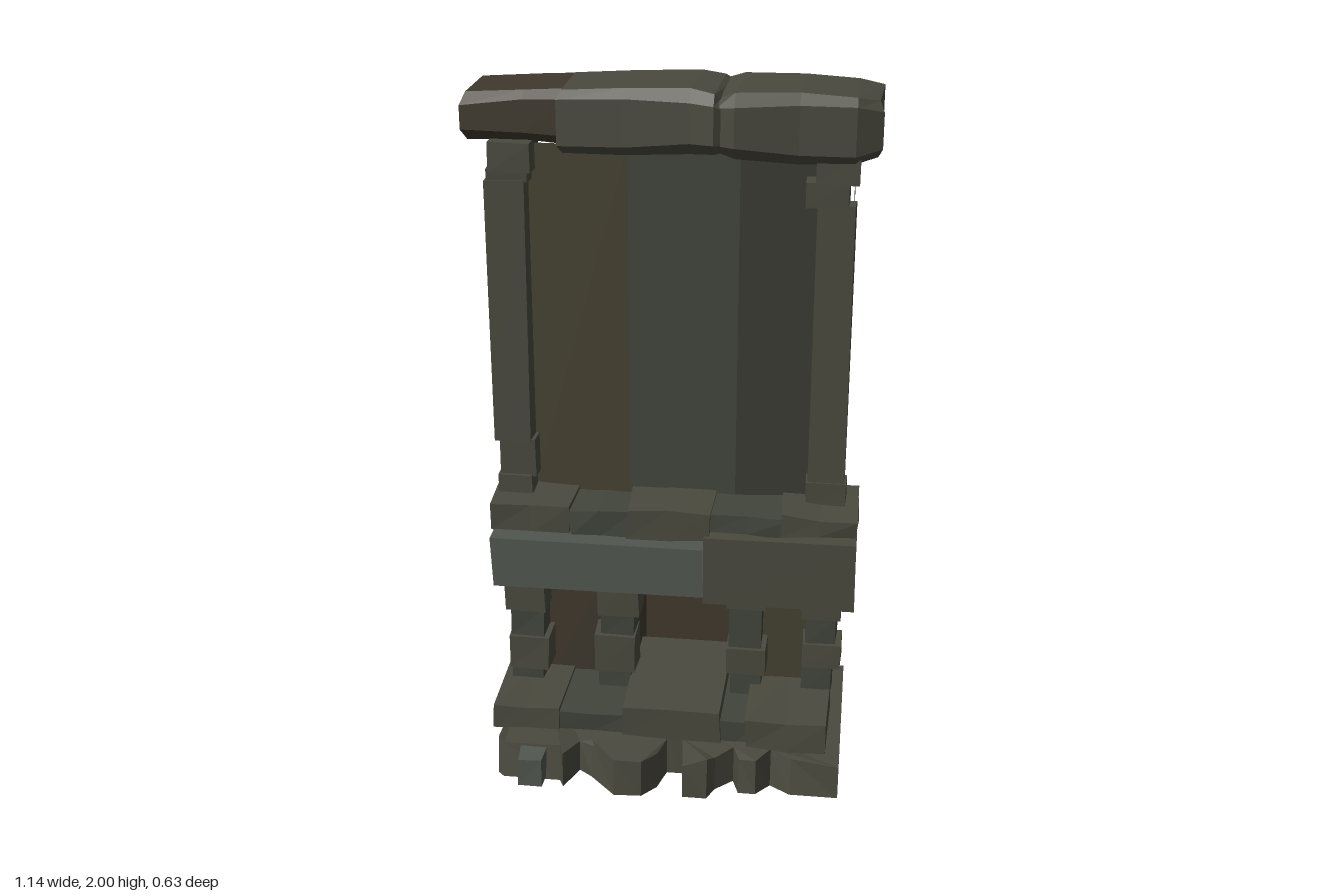
import * as THREE from 'three';

const mat = (color) => new THREE.MeshStandardMaterial({ color, flatShading: true, roughness: 1, side: THREE.DoubleSide });
const STONE = mat(0x4a493e), GREEN = mat(0x41453b), BROWN = mat(0x3f382d), DARK = mat(0x3b3c34);
const LIGHT = mat(0x50564f), OCHRE = mat(0x444030), RED = mat(0x524443);

// repeatable 0..1 value from a position
const hash = (x, y, z) => {
  const s = Math.sin(x * 127.1 + y * 311.7 + z * 74.7) * 43758.5453;
  return s - Math.floor(s);
};

// keep only the triangles whose normal passes the test
function keepFaces(geo, test) {
  const src = geo.index ? geo.toNonIndexed() : geo;
  const p = src.attributes.position, out = [];
  const t = new THREE.Triangle(), n = new THREE.Vector3();
  for (let i = 0; i < p.count; i += 3) {
    t.setFromAttributeAndIndices(p, i, i + 1, i + 2);
    t.getNormal(n);
    if (test(n)) for (const v of [t.a, t.b, t.c]) out.push(v.x, v.y, v.z);
  }
  const g = new THREE.BufferGeometry();
  g.setAttribute('position', new THREE.Float32BufferAttribute(out, 3));
  return g;
}

function add(group, name, geo, material) {
  geo.computeVertexNormals();
  const m = new THREE.Mesh(geo, material);
  m.name = name;
  group.add(m);
}

// rough stone, open behind; corners are chipped inward by up to chip
function stone(group, name, [x0, x1, y0, y1, z0, z1], material, { chip = 0.01, nx = 1, keep = (n) => n.z > -0.5 } = {}) {
  const g = keepFaces(new THREE.BoxGeometry(x1 - x0, y1 - y0, z1 - z0, nx, 1, 1), keep);
  const p = g.attributes.position;
  for (let i = 0; i < p.count; i++) {
    let x = p.getX(i), y = p.getY(i), z = p.getZ(i);
    const a = x + x0, b = y + y0, c = z + z1;
    const front = z > 0, k = front ? 1 : 0.3;
    x -= Math.sign(x) * chip * k * hash(a, b, c);
    y -= Math.sign(y) * chip * k * hash(b, c, a);
    if (front) z -= chip * 0.7 * hash(c, a, b);
    p.setXYZ(i, x + (x0 + x1) / 2, y + (y0 + y1) / 2, z + (z0 + z1) / 2);
  }
  add(group, name, g, material);
}

// worn stone lofted along x through stations [x, front z, bottom y, top y]
function wornStone(group, name, stations, back, material) {
  const pos = [], index = [], N = 6;
  stations.forEach(([x, z, yb, yt], i) => {
    const r = 0.02 + 0.015 * hash(x, z, yb);
    const inset = i === 0 ? 0.012 : i === stations.length - 1 ? -0.012 : 0;
    pos.push(x, yb, back, x + inset, yb, z - r, x, yb + r, z, x, yt - r, z, x + inset, yt, z - r, x, yt, back);
    if (i === 0) return;
    for (let k = 0; k < N; k++) {
      const a = (i - 1) * N + k, a2 = (i - 1) * N + ((k + 1) % N);
      index.push(a, a + N, a2 + N, a, a2 + N, a2);
    }
  });
  const e = (stations.length - 1) * N;
  for (let k = 1; k < N - 1; k++) index.push(0, k, k + 1, e, e + k + 1, e + k);
  const g = new THREE.BufferGeometry();
  g.setAttribute('position', new THREE.Float32BufferAttribute(pos, 3));
  g.setIndex(index);
  add(group, name, g.toNonIndexed(), material);
}

// thin upright wall along [x, z] points
function wall(group, name, pts, y0, y1, material) {
  const g = new THREE.PlaneGeometry(1, 1, pts.length - 1, 1), p = g.attributes.position;
  for (let i = 0; i < p.count; i++) {
    const [x, z] = pts[i % pts.length];
    p.setXYZ(i, x, i < pts.length ? y1 : y0, z);
  }
  add(group, name, g, material);
}

export function createModel() {
  const root = new THREE.Group();
  root.name = 'fireplace';
  const part = (name) => {
    const g = new THREE.Group();
    g.name = name;
    root.add(g);
    return g;
  };
  const B = -0.32; // back plane

  // rough base: ragged outline, open underneath and behind
  const outline = [
    [-0.47, B], [-0.48, 0.24], [-0.46, 0.26], [-0.29, 0.26], [-0.275, 0.29], [-0.24, 0.2], [-0.2, 0.23],
    [-0.12, 0.315], [-0.04, 0.31], [0, 0.26], [0.02, 0.18], [0.065, 0.18], [0.08, 0.3], [0.15, 0.3], [0.17, 0.25],
    [0.22, 0.2], [0.24, 0.26], [0.29, 0.26], [0.33, 0.21], [0.39, 0.25], [0.53, 0.25], [0.53, B],
  ];
  const shape = new THREE.Shape(outline.map(([x, z]) => new THREE.Vector2(x, -z)));
  let base = new THREE.ExtrudeGeometry(shape, { depth: 0.115, bevelEnabled: false });
  base.rotateX(-Math.PI / 2);
  base = keepFaces(base, (n) => n.y > -0.5 && n.z > -0.99);
  const bp = base.attributes.position;
  for (let i = 0; i < bp.count; i++) {
    const x = bp.getX(i), z = bp.getZ(i);
    if (bp.getY(i) > 0.05 && z > 0) {
      bp.setY(i, 0.115 - 0.02 * hash(x, z, 1));
      bp.setZ(i, z * (0.9 + 0.1 * hash(z, x, 2)));
    }
  }
  add(root, 'base', base, STONE);
  stone(root, 'looseBaseStone', [-0.41, -0.33, 0.005, 0.1, 0.24, 0.315], LIGHT);

  // hearth slabs
  const hearth = part('hearth');
  [
    [-0.51, -0.3, 0.115, 0.195, -0.1, 0.18],
    [-0.32, -0.09, 0.11, 0.185, -0.1, 0.17],
    [-0.12, 0.18, 0.115, 0.225, -0.235, 0.185],
    [0.16, 0.29, 0.11, 0.185, -0.235, 0.17],
    [0.25, 0.495, 0.12, 0.22, -0.05, 0.215],
  ].forEach((b, i) => stone(hearth, 'hearthSlab', b, i % 2 ? GREEN : STONE, { nx: 2 }));

  // lower body: side walls, recessed panels and firebox
  const lower = part('lowerBody');
  wall(lower, 'lowerLeftWall', [[0.495, -0.08], [0.495, B]], 0.18, 0.55, BROWN);
  wall(lower, 'lowerRightWall', [[-0.46, B], [-0.46, -0.08]], 0.18, 0.57, BROWN);
  wall(lower, 'recessPanel', [[-0.39, -0.08], [-0.18, -0.08]], 0.12, 0.57, BROWN);
  wall(lower, 'recessPanel', [[0.27, -0.08], [0.43, -0.08]], 0.12, 0.55, OCHRE);
  wall(lower, 'firebox', [[-0.11, -0.03], [-0.11, B], [0.2, B], [0.2, -0.03]], 0.175, 0.6, BROWN);

  // stacked stone posts: [x0, x1, course heights]
  const posts = part('posts');
  [
    [-0.475, -0.37, [0.17, 0.235, 0.34, 0.43, 0.56]],
    [-0.205, -0.1, [0.17, 0.24, 0.36, 0.43, 0.57]],
    [0.185, 0.285, [0.16, 0.26, 0.34, 0.48, 0.54]],
    [0.41, 0.505, [0.2, 0.3, 0.37, 0.46, 0.55]],
  ].forEach(([x0, x1, ys], k) => {
    for (let i = 0; i < 4; i++) {
      const s = (hash(k, i, 3) - 0.5) * 0.02, e = i % 2 ? 0.012 : 0;
      const box = [x0 + s - e, x1 + s + e, ys[i] - 0.006, ys[i + 1] + 0.004, -0.085, 0.008 + e];
      stone(posts, 'postStone', box, i % 2 ? STONE : GREEN, { chip: 0.006 });
    }
  });

  // mantel beam in two lengths, hollow behind
  const beam = part('mantelBeam');
  const openLeft = (n) => n.z > -0.5 && n.x < 0.5;
  stone(beam, 'beamRight', [-0.505, 0.125, 0.56, 0.725, B, 0.132], LIGHT, { keep: openLeft });
  stone(beam, 'beamLeft', [0.115, 0.553, 0.535, 0.75, B, 0.107], STONE, { keep: openLeft, chip: 0.004 });
  wall(beam, 'beamEnd', [[0.551, 0.105], [0.551, B]], 0.535, 0.75, RED);

  // ledge stones on the beam
  const ledge = part('ledge');
  [
    [-0.52, -0.27, 0.71, 0.815, -0.12, 0.075],
    [-0.29, -0.09, 0.71, 0.805, -0.15, 0.075],
    [-0.12, 0.14, 0.72, 0.825, -0.12, 0.095],
    [0.12, 0.36, 0.74, 0.815, -0.15, 0.085],
    [0.33, 0.557, 0.745, 0.825, -0.07, 0.09],
  ].forEach((b, i) => stone(ledge, 'ledgeStone', b, i % 2 ? GREEN : STONE, { chip: 0.016, nx: 2 }));

  // chimney breast: faceted front and two flat sides
  const breast = part('chimneyBreast');
  wall(breast, 'breastFront', [[-0.42, -0.09], [-0.12, -0.07]], 0.76, 1.83, OCHRE);
  wall(breast, 'breastFront', [[-0.12, -0.07], [0.19, -0.07]], 0.76, 1.83, GREEN);
  wall(breast, 'breastFront', [[0.19, -0.07], [0.41, -0.09]], 0.76, 1.83, DARK);
  for (const x of [-0.42, 0.5]) wall(breast, 'breastSide', [[x, -0.07], [x, B]], 0.79, 1.83, DARK);

  // corner trims of the chimney breast
  const trims = part('cornerTrims');
  [
    [-0.505, -0.4, 0.78, 0.865, -0.08, -0.01], [-0.5, -0.39, 0.855, 0.975, -0.08, -0.02],
    [-0.513, -0.4, 0.965, 1.74, -0.08, -0.015], [-0.51, -0.39, 1.73, 1.772, -0.08, -0.02],
    [-0.5, -0.38, 1.76, 1.845, -0.08, -0.01], [0.395, 0.515, 0.805, 0.885, -0.08, -0.01],
    [0.4, 0.51, 0.875, 1.695, -0.08, -0.015], [0.37, 0.49, 1.685, 1.76, -0.08, -0.015],
    [0.395, 0.515, 1.75, 1.835, -0.08, -0.01],
  ].forEach((b) => stone(trims, 'cornerTrimStone', b, STONE, { chip: 0.005 }));

  // solid top cap of three large worn stones
  const cap = part('cap');
  wornStone(cap, 'capStoneRight', [[-0.575, -0.03, 1.84, 1.97], [-0.4, -0.03, 1.845, 1.98], [-0.28, -0.03, 1.835, 1.985]], B, BROWN);
  wornStone(cap, 'capStoneMiddle', [[-0.305, -0.01, 1.815, 1.985], [-0.12, 0, 1.815, 1.995], [0.06, 0.02, 1.825, 2],
    [0.125, 0.04, 1.83, 1.99], [0.15, 0.02, 1.83, 1.975]], B, STONE);
  wornStone(cap, 'capStoneLeft', [[0.13, 0.02, 1.83, 1.98], [0.18, 0.045, 1.82, 1.995], [0.35, 0.015, 1.805, 1.995],
    [0.5, 0.01, 1.81, 1.985], [0.57, -0.035, 1.82, 1.97]], B, STONE);

  return root;
}
